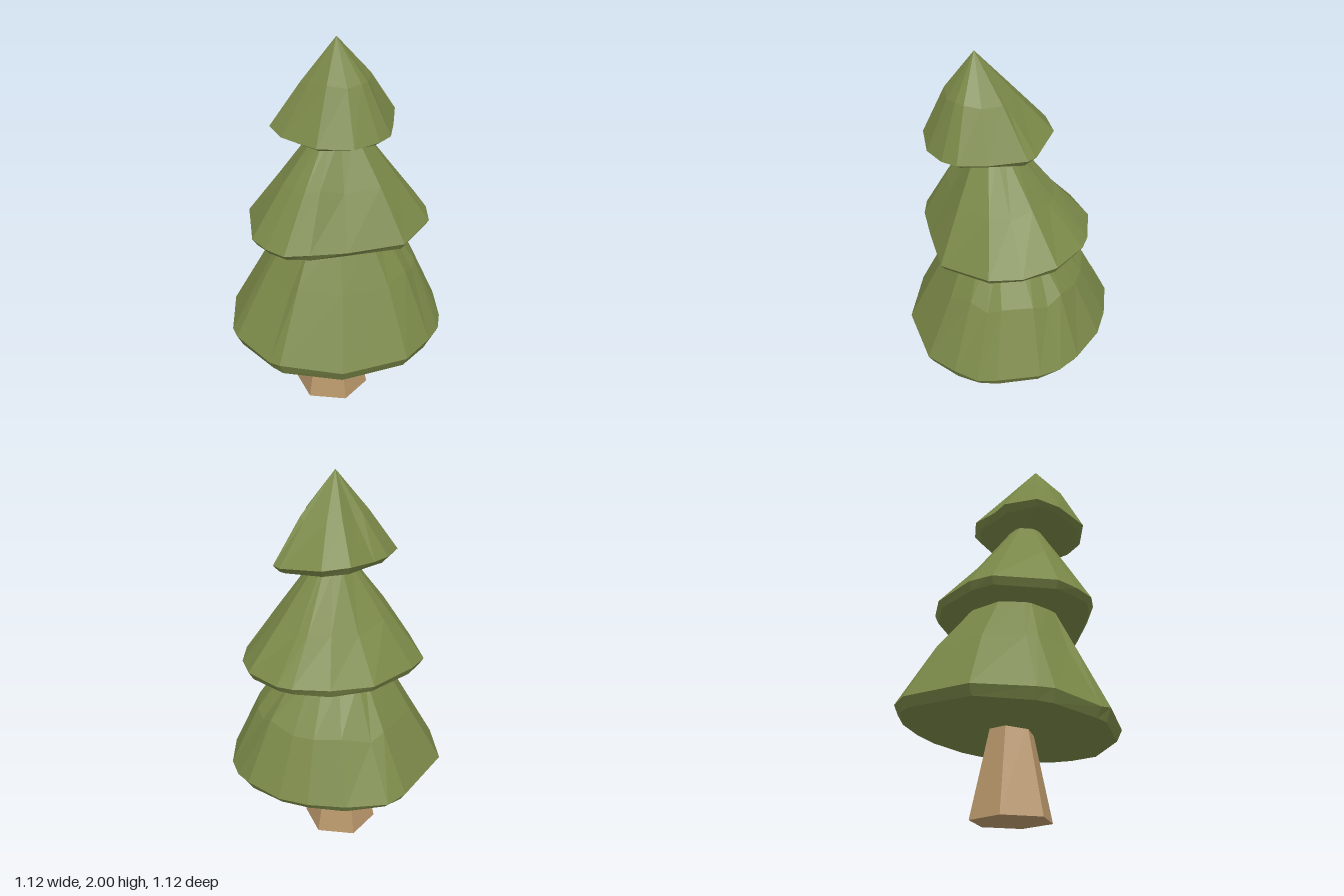
import * as THREE from 'three';

const green = new THREE.MeshStandardMaterial({ color: 0x7a8848, flatShading: true });
const brown = new THREE.MeshStandardMaterial({ color: 0xb8966a, flatShading: true });

// Ring = [scale, offsetX, offsetZ, y, tilt along x, tilt along z, unevenness], listed bottom to top.
// Every ring is a scaled copy of the tier's [x, z] outline.
function tier(name, outline, rings) {
  const n = outline.length;
  const pts = rings.map(([s, ox, oz, y, tx = 0, tz = 0, bump = 0]) =>
    outline.map(([px, pz], i) => [
      px * s + ox,
      y + px * tx + pz * tz + bump * Math.sin(i * 2.4),
      pz * s + oz,
    ]));
  const pos = [];
  for (let r = 0; r < rings.length - 1; r++) {
    const lo = pts[r], up = pts[r + 1];
    for (let i = 0; i < n; i++) {
      const j = (i + 1) % n;
      if (rings[r][0] > 0) pos.push(...lo[j], ...lo[i], ...up[i]);
      if (rings[r + 1][0] > 0) pos.push(...lo[j], ...up[i], ...up[j]);
    }
  }
  const geo = new THREE.BufferGeometry();
  geo.setAttribute('position', new THREE.Float32BufferAttribute(pos, 3));
  geo.computeVertexNormals();
  const mesh = new THREE.Mesh(geo, green);
  mesh.name = name;
  return mesh;
}

export function createModel() {
  const tree = new THREE.Group();
  tree.name = 'pineTree';

  // Tapered six-sided trunk
  const trunkGeo = new THREE.CylinderGeometry(0.108, 0.203, 0.45, 6);
  trunkGeo.rotateY(Math.PI / 6);
  const trunk = new THREE.Mesh(trunkGeo, brown);
  trunk.position.set(-0.017, 0.225, -0.02);
  trunk.name = 'trunk';
  tree.add(trunk);

  // Wide bottom skirt
  tree.add(tier('lowerFoliage', [
    [-0.26, -0.52], [0.15, -0.56], [0.26, -0.53], [0.42, -0.39], [0.51, -0.22], [0.555, -0.07],
    [0.555, 0.14], [0.52, 0.25], [0.46, 0.35], [0.29, 0.49], [0.2, 0.535], [0.07, 0.555],
    [-0.12, 0.54], [-0.41, 0.35], [-0.56, 0.07], [-0.56, 0], [-0.52, -0.26], [-0.48, -0.33],
  ], [
    [0, 0, 0, 0.43],
    [0.95, 0, 0, 0.43, 0.07, -0.06],
    [1, 0, 0, 0.48, 0.06, -0.05, 0.008],
    [0.71, 0.015, 0, 0.8, 0.03, 0, 0.02],
    [0.44, -0.01, 0.01, 1.04],
    [0.34, -0.01, 0.01, 1.12],
    [0, -0.01, 0.01, 1.14],
  ]));

  // Middle skirt
  tree.add(tier('middleFoliage', [
    [-0.25, -0.385], [-0.11, -0.405], [0.17, -0.365], [0.35, -0.24], [0.44, -0.08], [0.46, 0],
    [0.44, 0.2], [0.34, 0.34], [0.21, 0.435], [-0.06, 0.46], [-0.28, 0.28], [-0.42, 0.16],
    [-0.49, 0.06], [-0.495, -0.05], [-0.47, -0.16],
  ], [
    [0, 0, 0, 1.04],
    [0.95, 0, 0, 1.035, 0.06, -0.04],
    [1, 0, 0, 1.07, 0.07, -0.05, 0.006],
    [0.63, -0.02, 0.02, 1.3, 0, 0, 0.015],
    [0.24, -0.045, 0.045, 1.55],
    [0.16, -0.05, 0.05, 1.61],
    [0, -0.05, 0.05, 1.62],
  ]));

  // Pointed top with a leaning apex
  tree.add(tier('topFoliage', [
    [-0.33, -0.145], [-0.15, -0.205], [-0.06, -0.19], [0.11, -0.175], [0.215, -0.085],
    [0.26, 0.13], [0.25, 0.18], [0.1, 0.27], [-0.03, 0.34], [-0.12, 0.34], [-0.25, 0.29],
    [-0.375, 0.17], [-0.38, -0.03],
  ], [
    [0, -0.05, 0.05, 1.56],
    [0.9, -0.005, 0.007, 1.57, 0.05, -0.09],
    [1, 0, 0, 1.6, 0.08, -0.12, 0.005],
    [0.54, -0.05, 0.045, 1.8, 0, 0, 0.01],
    [0, -0.112, 0.085, 2],
  ]));

  return tree;
}
